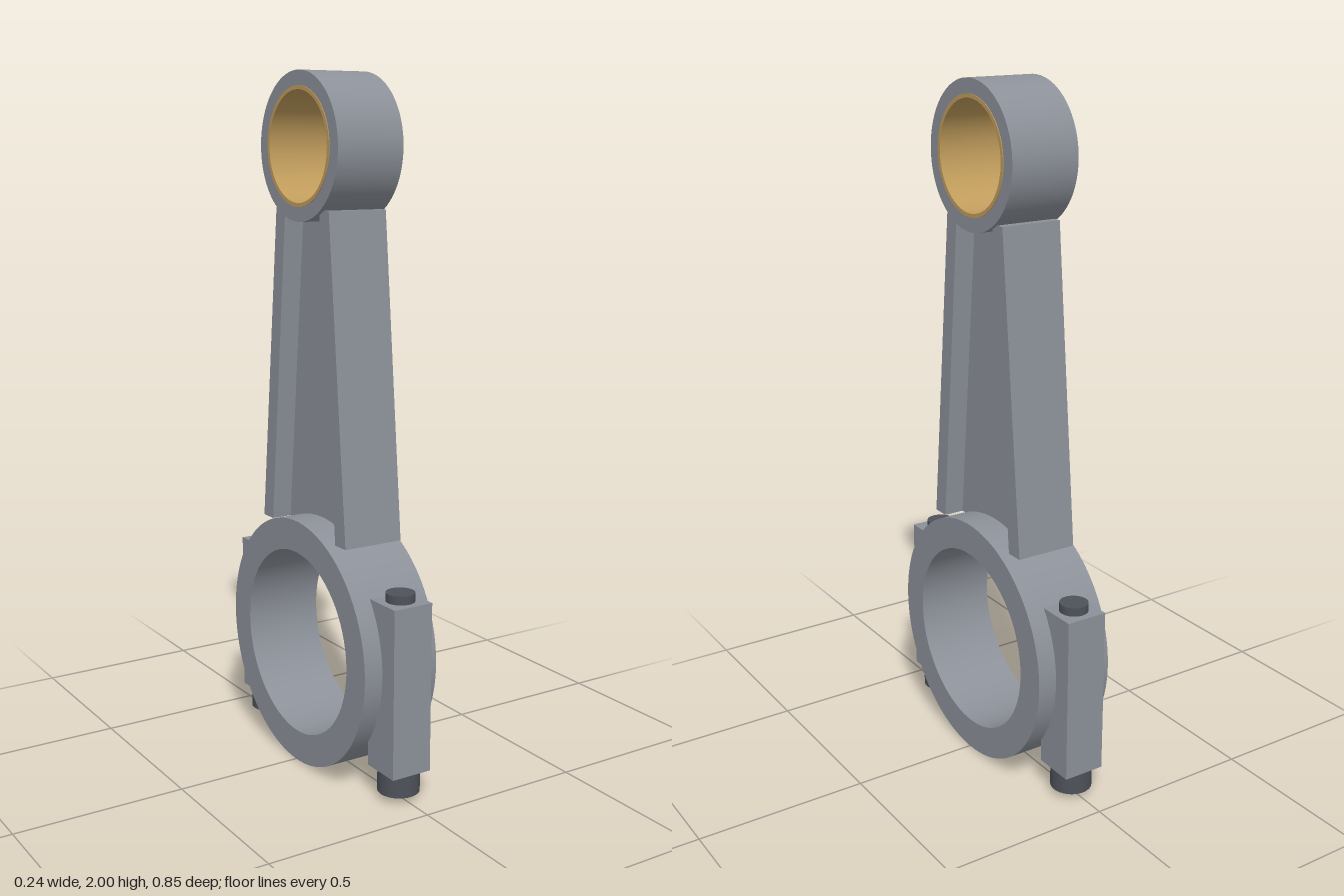
import * as THREE from 'three';

const steel = new THREE.MeshStandardMaterial({ color: 0x8c9199 });
steel.name = 'steel';
const darkSteel = new THREE.MeshStandardMaterial({ color: 0x4e5259 });
darkSteel.name = 'darkSteel';
const bronze = new THREE.MeshStandardMaterial({ color: 0xc09c5c });
bronze.name = 'bronze';

function add(parent, name, geometry, material, x = 0, y = 0, z = 0) {
  const mesh = new THREE.Mesh(geometry, material);
  mesh.name = name;
  mesh.position.set(x, y, z);
  parent.add(mesh);
  return mesh;
}

// Ring with its bore along x; each side is its own lathe so edges stay sharp
function addRing(parent, name, y, inner, outer, half, material) {
  const ring = new THREE.Group();
  ring.name = name;
  ring.position.y = y;
  ring.rotation.z = -Math.PI / 2;
  const corners = [[inner, -half], [outer, -half], [outer, half], [inner, half]]
    .map(([r, h]) => new THREE.Vector2(r, h));
  ['sideFace', 'rim', 'otherSideFace', 'bore'].forEach((part, i) => {
    add(ring, part, new THREE.LatheGeometry([corners[i], corners[(i + 1) % 4]], 96), material);
  });
  parent.add(ring);
}

// Flat plate given as [z, y] corners, extruded along x about the centre
function plate(points, half) {
  const shape = new THREE.Shape(points.map(([z, y]) => new THREE.Vector2(-z, y)));
  const geometry = new THREE.ExtrudeGeometry(shape, { depth: half * 2, bevelEnabled: false });
  geometry.translate(0, 0, -half);
  geometry.rotateY(Math.PI / 2);
  return geometry;
}

export function createModel() {
  const model = new THREE.Group();
  model.name = 'connectingRod';

  // Big and small ends
  addRing(model, 'bigEnd', 0.368, 0.275, 0.368, 0.12, steel);
  addRing(model, 'smallEnd', 1.795, 0.162, 0.205, 0.105, steel);
  addRing(model, 'bushing', 1.795, 0.153, 0.164, 0.107, bronze);

  // Tapered I-section beam: thin web between two flanges
  const bottom = 0.7, top = 1.625;
  add(model, 'web', plate([[-0.18, bottom], [0.18, bottom], [0.095, top], [-0.095, top]], 0.032), steel);
  for (const s of [1, -1]) {
    const side = s > 0 ? 'front' : 'back';
    add(model, side + 'Flange', plate([
      [s * 0.174, bottom], [s * 0.227, bottom], [s * 0.14, top], [s * 0.091, top],
    ], 0.093), steel);

    // Bolt boss with the bolt head below and the shank end above
    const z = s * 0.361;
    add(model, side + 'BoltBoss', new THREE.BoxGeometry(0.125, 0.49, 0.125), steel, 0, 0.33, z);
    add(model, side + 'BoltHead', new THREE.CylinderGeometry(0.06, 0.06, 0.066, 48), darkSteel, 0, 0.053, z);
    add(model, side + 'BoltEnd', new THREE.CylinderGeometry(0.041, 0.041, 0.03, 48), darkSteel, 0, 0.585, z);
  }
  return model;
}
